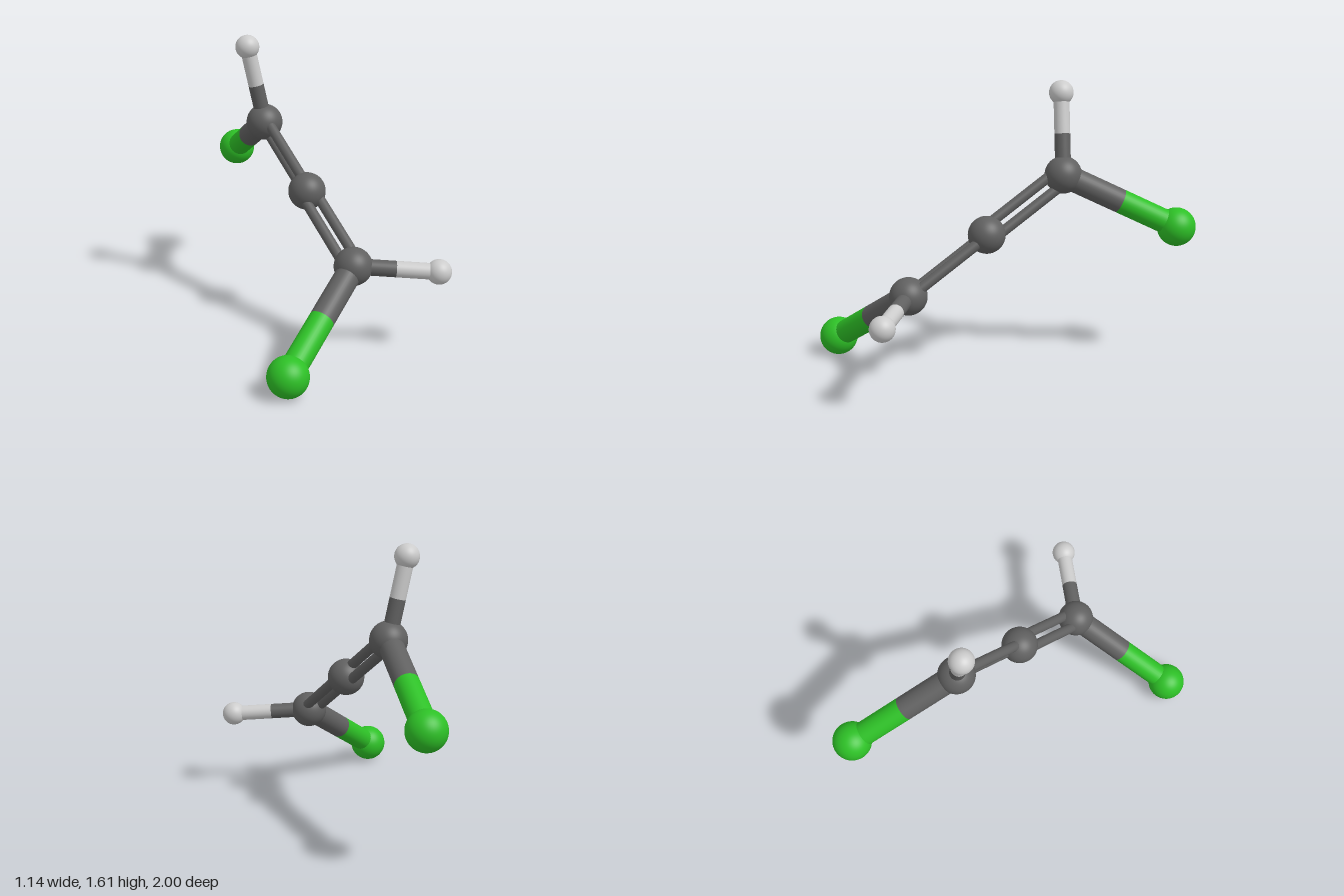
import * as THREE from 'three';

const V = (x, y, z) => new THREE.Vector3(x, y, z);

// Atom kinds: colour, ball radius and radius of their single bond
const KINDS = {
  carbon: { color: 0x606060, radius: 0.104 },
  chlorine: { color: 0x2dc026, radius: 0.109, bond: 0.068 },
  hydrogen: { color: 0xcccccc, radius: 0.068, bond: 0.044 },
};

const ATOMS = {
  upperCarbon: { kind: 'carbon', at: V(0.13, 1.10, -0.27) },
  middleCarbon: { kind: 'carbon', at: V(0.124, 0.798, 0.181) },
  lowerCarbon: { kind: 'carbon', at: V(0.118, 0.496, 0.631) },
  rearChlorine: { kind: 'chlorine', at: V(0.313, 0.789, -0.89) },
  frontChlorine: { kind: 'chlorine', at: V(-0.465, 0.11, 0.89) },
  topHydrogen: { kind: 'hydrogen', at: V(0.032, 1.543, -0.296) },
  sideHydrogen: { kind: 'hydrogen', at: V(0.5, 0.467, 0.882) },
};

export function createModel() {
  const model = new THREE.Group();
  model.name = 'molecule';

  const materials = {};
  for (const [kind, { color }] of Object.entries(KINDS)) {
    materials[kind] = new THREE.MeshStandardMaterial({ color });
  }

  const addRod = (name, from, to, radius, material) => {
    const dir = to.clone().sub(from);
    const rod = new THREE.Mesh(new THREE.CylinderGeometry(radius, radius, dir.length(), 32), material);
    rod.name = name;
    rod.position.copy(from).add(to).multiplyScalar(0.5);
    rod.quaternion.setFromUnitVectors(V(0, 1, 0), dir.normalize());
    model.add(rod);
  };

  // Balls
  for (const [name, { kind, at }] of Object.entries(ATOMS)) {
    const ball = new THREE.Mesh(new THREE.SphereGeometry(KINDS[kind].radius, 48, 32), materials[kind]);
    ball.name = name;
    ball.position.copy(at);
    model.add(ball);
  }

  // Single bonds, each half in the colour of its atom
  const singles = [
    ['upperCarbon', 'rearChlorine'], ['upperCarbon', 'topHydrogen'],
    ['lowerCarbon', 'frontChlorine'], ['lowerCarbon', 'sideHydrogen'],
  ];
  for (const [a, b] of singles) {
    const A = ATOMS[a], B = ATOMS[b];
    const mid = A.at.clone().lerp(B.at, 0.5);
    const radius = KINDS[B.kind].bond;
    addRod(`${b}BondInner`, A.at, mid, radius, materials[A.kind]);
    addRod(`${b}BondOuter`, mid, B.at, radius, materials[B.kind]);
  }

  // Double bonds: two thin parallel rods, the pairs turned a quarter to each other
  const doubles = [
    ['upperCarbon', 'middleCarbon', V(-0.27, 0.8, 0.535)],
    ['middleCarbon', 'lowerCarbon', V(0.98, 0.165, 0.11)],
  ];
  for (const [a, b, side] of doubles) {
    for (const s of [-1, 1]) {
      const shift = side.clone().normalize().multiplyScalar(0.041 * s);
      addRod(`${a}DoubleBond`, ATOMS[a].at.clone().add(shift), ATOMS[b].at.clone().add(shift), 0.029, materials.carbon);
    }
  }
  return model;
}
